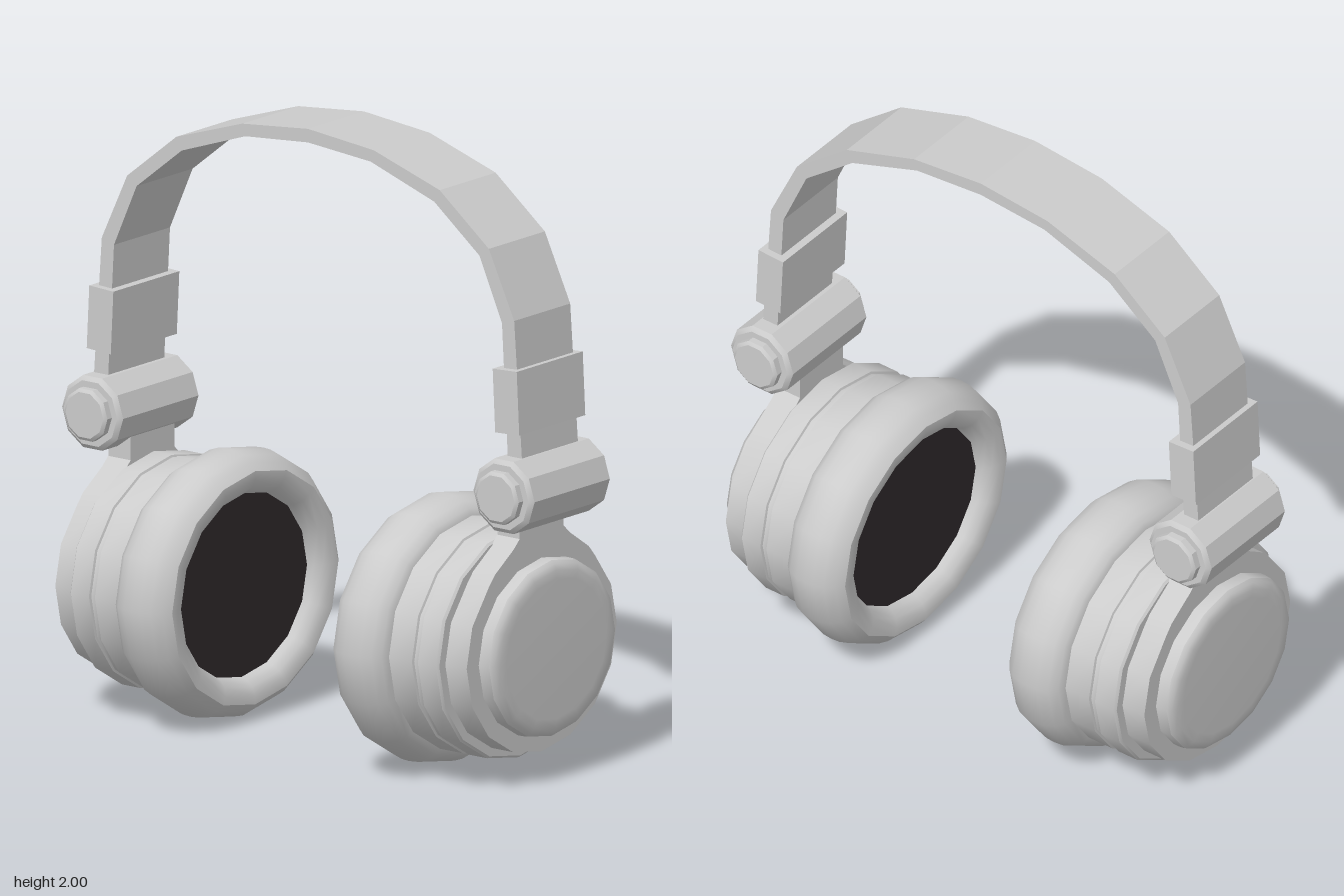
import * as THREE from 'three';
import { toCreasedNormals } from 'three/addons/utils/BufferGeometryUtils.js';

const grey = new THREE.MeshStandardMaterial({ color: 0xcccccc });
const dark = new THREE.MeshStandardMaterial({ color: 0x2e282a });

const CUP_Y = 0.432; // height of the ear cup axis
const SQUASH = 0.91; // cups are slightly wider than tall
const HINGE = { x: 0.828, y: 0.955 };

function part(name, geometry, material = grey) {
  const mesh = new THREE.Mesh(geometry, material);
  mesh.name = name;
  return mesh;
}

// Oval turned solid around the cup axis; profile is [distance along x, radius]
function cupPart(name, profile, material) {
  const g = new THREE.LatheGeometry(profile.map(([x, r]) => new THREE.Vector2(r, x)), 16);
  g.rotateZ(-Math.PI / 2);
  g.scale(1, SQUASH, 1);
  g.translate(0, CUP_Y, 0);
  return part(name, toCreasedNormals(g, 0.6), material);
}

// Ten-sided turned solid around z; profile is [z, radius]
function hingePart(name, profile) {
  const g = new THREE.LatheGeometry(profile.map(([z, r]) => new THREE.Vector2(r, z)), 10, Math.PI / 2);
  g.rotateX(Math.PI / 2);
  g.translate(HINGE.x, HINGE.y, 0);
  return part(name, toCreasedNormals(g, 0.5));
}

// Oval plate with a neck rising into the hinge
function yokePlate() {
  const pts = [[-0.11, 0.94], [-0.11, 0.8], [-0.14, 0.772], [-0.235, 0.708]];
  for (let i = 2; i <= 14; i++) {
    const a = (i / 16) * Math.PI * 2;
    pts.push([-0.375 * Math.sin(a), CUP_Y + 0.375 * SQUASH * Math.cos(a)]);
  }
  pts.push([0.235, 0.708], [0.14, 0.772], [0.11, 0.8], [0.11, 0.94]);
  const shape = new THREE.Shape(pts.map(([x, y]) => new THREE.Vector2(x, y)));
  const g = new THREE.ExtrudeGeometry(shape, { depth: 0.09, bevelEnabled: false });
  g.rotateY(Math.PI / 2);
  g.translate(0.738, 0, 0);
  return part('yokePlate', toCreasedNormals(g, 0.6));
}

function earpiece(name) {
  const group = new THREE.Group();
  group.name = name;

  group.add(cupPart('earCushion', [
    [0.385, 0.325], [0.36, 0.335], [0.338, 0.355], [0.326, 0.385], [0.325, 0.415],
    [0.345, 0.441], [0.375, 0.463], [0.41, 0.473], [0.44, 0.475], [0.475, 0.472],
    [0.51, 0.458], [0.535, 0.437], [0.547, 0.41], [0.547, 0.35],
  ]));
  group.add(cupPart('speakerCover', [[0.38, 0], [0.38, 0.335]], dark));
  group.add(cupPart('cupBody', [
    [0.54, 0.3], [0.54, 0.413], [0.638, 0.413], [0.641, 0.405], [0.659, 0.405],
    [0.662, 0.413], [0.735, 0.413], [0.742, 0.405], [0.742, 0],
  ]));
  group.add(yokePlate());
  group.add(cupPart('outerCap', [
    [0.82, 0.315], [0.847, 0.315], [0.868, 0.313], [0.88, 0.302], [0.887, 0.28], [0.888, 0.25], [0.888, 0],
  ]));

  // Hinge barrel with an end cap on each side
  group.add(hingePart('hingeBarrel', [
    [-0.2, 0], [-0.2, 0.108], [-0.188, 0.123], [0.188, 0.123], [0.2, 0.108], [0.2, 0],
  ]));
  group.add(hingePart('hingePin', [
    [-0.23, 0], [-0.23, 0.076], [-0.222, 0.087], [0.222, 0.087], [0.23, 0.076], [0.23, 0],
  ]));

  // Sleeve where the band slides
  const sleeve = part('bandSleeve', new THREE.BoxGeometry(0.097, 0.205, 0.33));
  sleeve.position.set(0.817, 1.253, 0);
  sleeve.rotation.z = 0.05;
  group.add(sleeve);
  return group;
}

// Faceted arch from hinge to hinge
function headband() {
  const outer = [[0.866, 1.0], [0.83, 1.513], [0.728, 1.73], [0.53, 1.888], [0.264, 1.974]];
  const inner = [[0.808, 1.0], [0.781, 1.497], [0.69, 1.702], [0.508, 1.847], [0.252, 1.935]];
  const mirrored = (p) => p.map(([x, y]) => [-x, y]).reverse();
  const loop = [
    ...outer, [0, 2], ...mirrored(outer),
    ...mirrored(inner).reverse(), [0, 1.956], ...[...inner].reverse(),
  ];
  const shape = new THREE.Shape(loop.map(([x, y]) => new THREE.Vector2(x, y)));
  const g = new THREE.ExtrudeGeometry(shape, { depth: 0.28, bevelEnabled: false });
  g.translate(0, 0, -0.14);
  return part('headband', g);
}

export function createModel() {
  const model = new THREE.Group();
  model.name = 'headphones';
  const left = earpiece('leftEarpiece');
  const right = earpiece('rightEarpiece');
  right.rotation.y = Math.PI; // front and back match, so a half turn mirrors it
  model.add(headband(), left, right);
  return model;
}
